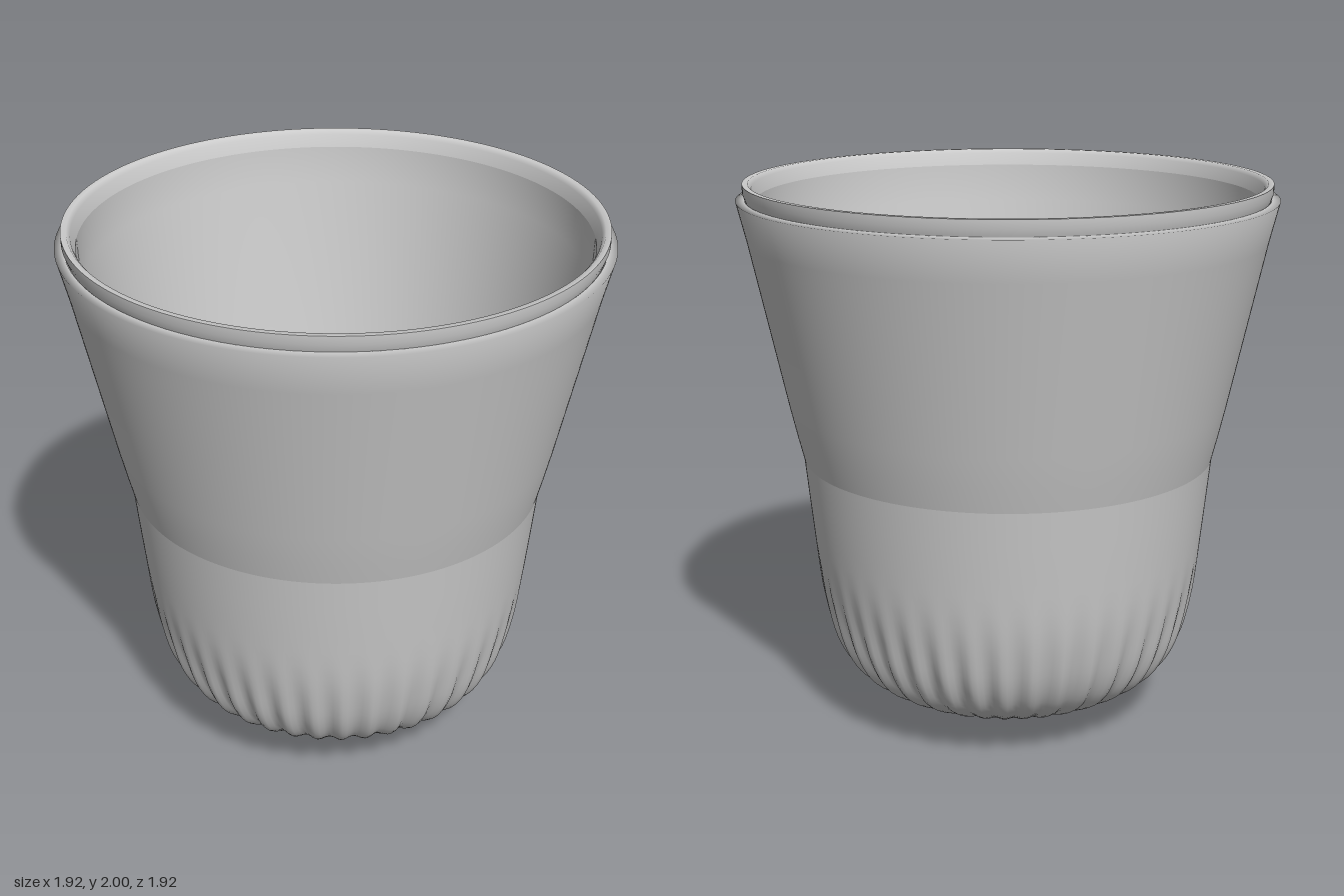
import * as THREE from 'three';

const FLUTES = 40;
const SEGMENTS = FLUTES * 6;

// Turns [radius, height] points into a smooth surface; depth(y) carves vertical flutes.
function turned(name, points, depth) {
  const geometry = new THREE.LatheGeometry(points.map(([r, y]) => new THREE.Vector2(r, y)), SEGMENTS);
  if (depth) {
    const pos = geometry.attributes.position;
    const rows = points.length;
    for (let i = 0; i < pos.count; i++) {
      const x = pos.getX(i), y = pos.getY(i), z = pos.getZ(i);
      const r = Math.hypot(x, z);
      if (r < 1e-4) continue;
      const angle = (Math.floor(i / rows) / SEGMENTS) * Math.PI * 2;
      const k = 1 - depth(r, y) * (0.5 - 0.5 * Math.cos(angle * FLUTES));
      pos.setX(i, x * k);
      pos.setZ(i, z * k);
    }
    geometry.computeVertexNormals();
    // Match normals where the surface closes on itself
    const n = geometry.attributes.normal;
    for (let j = 0; j < rows; j++) {
      const last = SEGMENTS * rows + j;
      const v = new THREE.Vector3().fromBufferAttribute(n, j)
        .add(new THREE.Vector3().fromBufferAttribute(n, last)).normalize();
      n.setXYZ(j, v.x, v.y, v.z);
      n.setXYZ(last, v.x, v.y, v.z);
    }
  }
  const mesh = new THREE.Mesh(geometry, new THREE.MeshStandardMaterial({ color: 0xcccccc, side: THREE.DoubleSide }));
  mesh.name = name;
  return mesh;
}

// Samples a rounded profile through a few control points
function curve(points, count) {
  const path = new THREE.CatmullRomCurve3(points.map(([r, y]) => new THREE.Vector3(r, y, 0)), false, 'centripetal');
  return path.getPoints(count).map((p) => [Math.max(0, p.x), p.y]);
}

// Flutes fade out towards the smooth band and towards the tip
const fluteDepth = (amount) => (r, y) =>
  amount * (1 - THREE.MathUtils.smoothstep(y, 0.22, 0.68)) * THREE.MathUtils.smoothstep(r, 0.02, 0.5);

export function createModel() {
  const cup = new THREE.Group();
  cup.name = 'cup';

  // Fluted base rising from a shallow cone
  const base = [[0, 0], ...curve([
    [0.18, 0.04], [0.35, 0.077], [0.44, 0.108], [0.58, 0.195], [0.65, 0.3],
    [0.695, 0.47], [0.725, 0.73], [0.752, 1],
  ], 30)];
  cup.add(turned('flutedBase', base, fluteDepth(0.04)));

  // Flared upper wall, folding over the shoulder under the lip
  cup.add(turned('upperWall', [
    [0.752, 1], [0.774, 1.09], [0.799, 1.2], [0.926, 1.8], [0.96, 1.942], [0.928, 1.945],
  ]));

  // Lip ring standing inside the shoulder
  cup.add(turned('lipOuterFace', [[0.926, 1.943], [0.935, 1.97], [0.935, 2]]));
  cup.add(turned('lipTop', [[0.935, 2], [0.915, 2], [0.903, 1.985], [0.888, 1.94]]));

  // Inner wall
  cup.add(turned('innerWall', [
    [0.888, 1.94], [0.878, 1.8], [0.765, 1.2], [0.742, 1.09], [0.72, 1],
  ]));

  // Rounded inner floor with faint flutes
  const floor = [...curve([
    [0.72, 1], [0.695, 0.73], [0.665, 0.48], [0.615, 0.32], [0.54, 0.22],
    [0.42, 0.14], [0.33, 0.112], [0.16, 0.07],
  ], 26), [0, 0.035]];
  cup.add(turned('innerFloor', floor, fluteDepth(0.015)));

  return cup;
}
